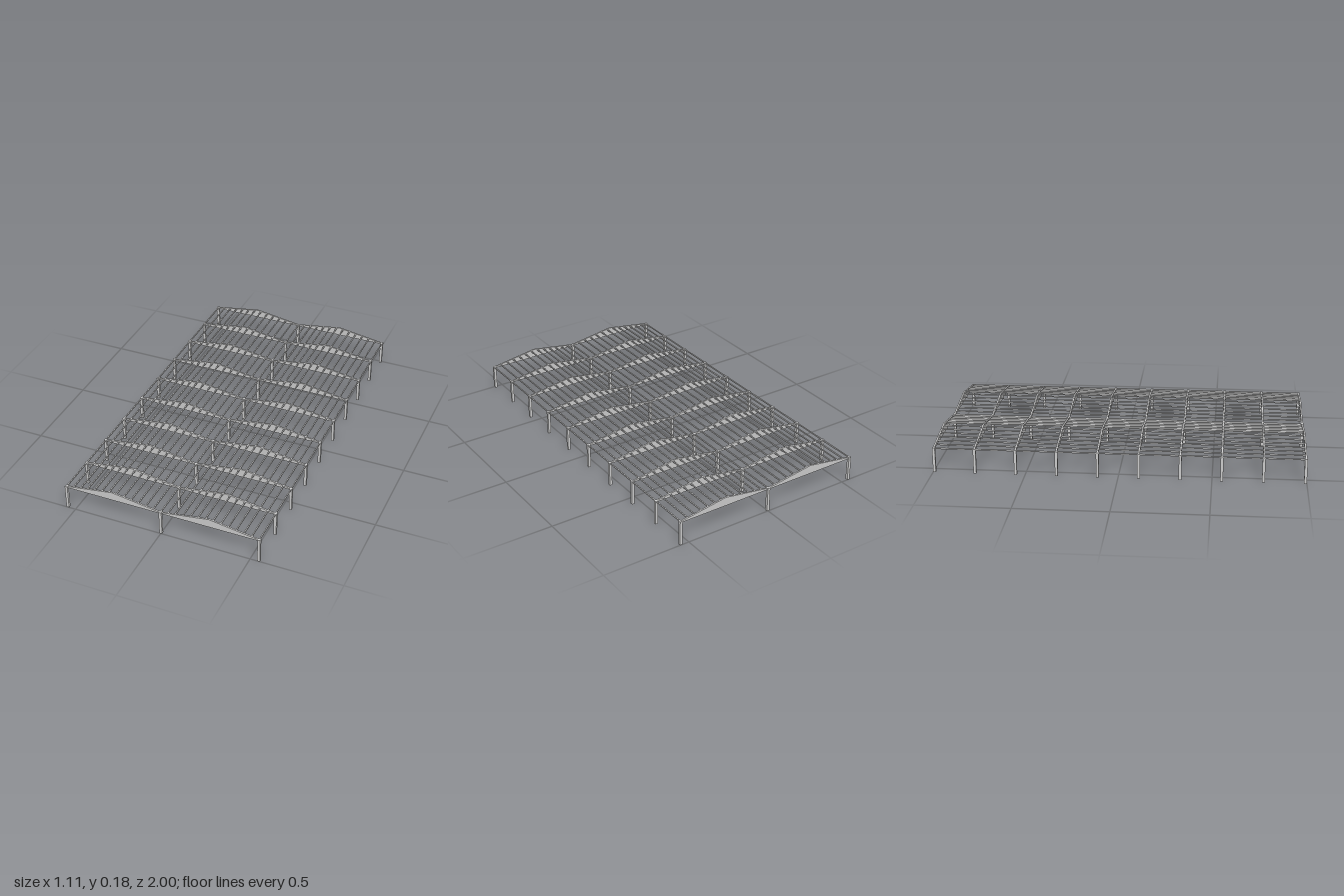
import * as THREE from 'three';

const FRAMES = 10, END_Z = 0.9925;         // portal frames along z
const SPAN = 0.546, EAVE = 0.139, RIDGE = 0.181, SOFFIT = 0.132;
const COLUMN = 0.015, BEAM = 0.009;
const PURLIN_W = 0.006, PURLIN_H = 0.007, PURLINS = 13;

// height of the roof line at a distance x across one span
const roofY = (x) => RIDGE - (RIDGE - EAVE) * Math.abs(x - SPAN / 2) / (SPAN / 2);

export function createModel() {
  const model = new THREE.Group();
  const material = new THREE.MeshStandardMaterial({ color: 0xcccccc, flatShading: true });

  const add = (parent, name, geometry, x, y, z) => {
    const mesh = new THREE.Mesh(geometry, material);
    mesh.name = name;
    mesh.position.set(x, y, z);
    parent.add(mesh);
  };

  // double-gabled beam plate spanning both bays
  const outer = SPAN + COLUMN / 2;
  const profile = new THREE.Shape([
    [-outer, SOFFIT], [outer, SOFFIT], [outer, EAVE], [SPAN, EAVE],
    [SPAN / 2, RIDGE], [0, EAVE], [-SPAN / 2, RIDGE], [-SPAN, EAVE], [-outer, EAVE],
  ].map(([x, y]) => new THREE.Vector2(x, y)));
  const beam = new THREE.ExtrudeGeometry(profile, { depth: BEAM, bevelEnabled: false });
  beam.translate(0, 0, -BEAM / 2);

  // frames: three columns under each beam
  const column = new THREE.BoxGeometry(COLUMN, EAVE, COLUMN);
  for (let i = 0; i < FRAMES; i++) {
    const frame = new THREE.Group();
    frame.name = 'portalFrame';
    frame.position.z = -END_Z + (2 * END_Z * i) / (FRAMES - 1);
    for (const x of [-SPAN, 0, SPAN]) add(frame, 'column', column, x, EAVE / 2, 0);
    add(frame, 'gabledBeam', beam, 0, 0, 0);
    model.add(frame);
  }

  // purlins running the whole length, following both roof slopes
  const purlin = new THREE.BoxGeometry(PURLIN_W, PURLIN_H, 2 * END_Z);
  const purlins = new THREE.Group();
  purlins.name = 'purlins';
  for (let i = -PURLINS; i <= PURLINS; i++) {
    const x = (SPAN * i) / PURLINS;
    add(purlins, 'purlin', purlin, x, roofY(Math.abs(x)) - PURLIN_H / 2, 0);
  }
  model.add(purlins);
  return model;
}
